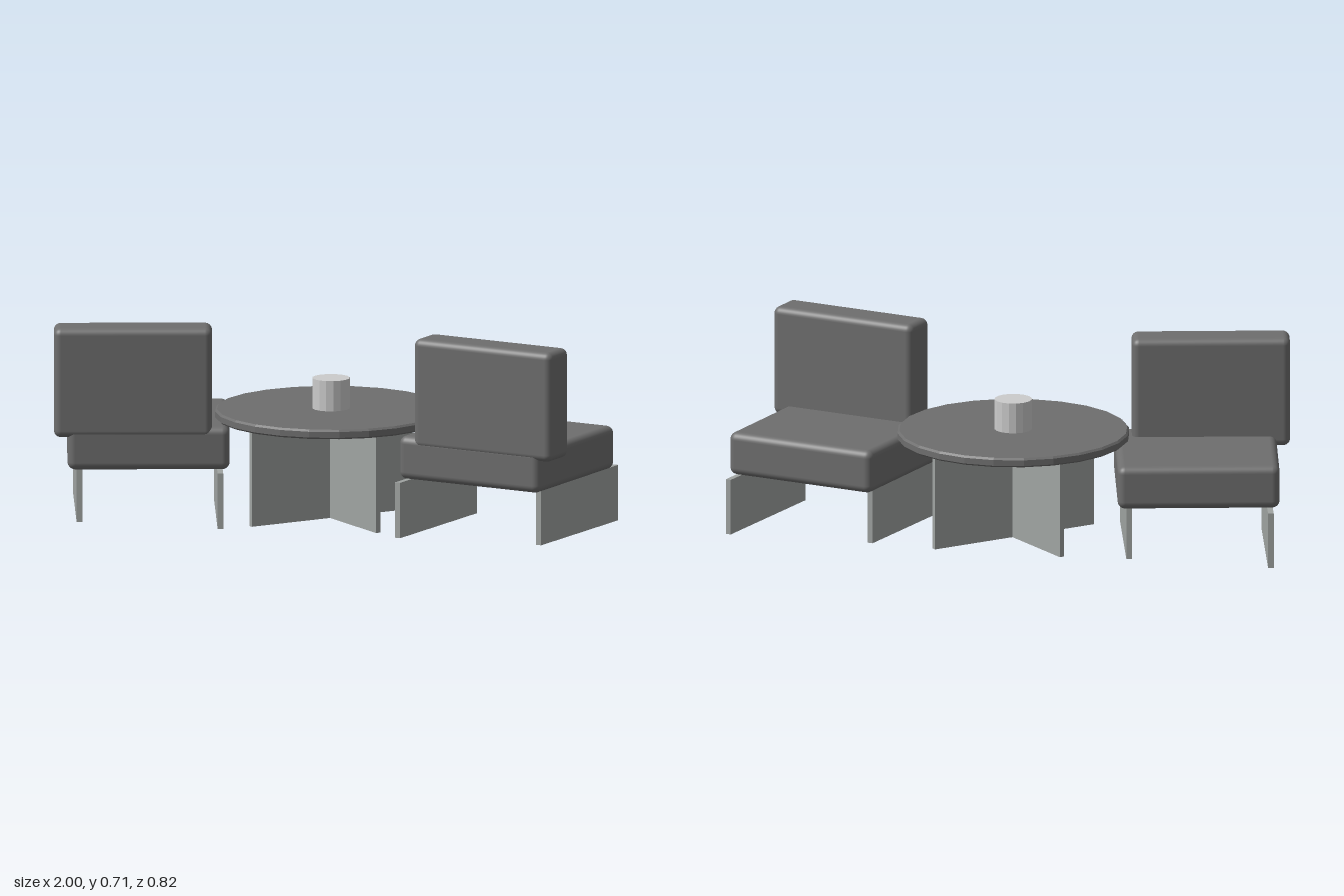
import * as THREE from 'three';
import { RoundedBoxGeometry } from 'three/addons/geometries/RoundedBoxGeometry.js';

export function createModel() {
  const cushionGrey = new THREE.MeshStandardMaterial({ color: 0x6e6e6e });
  cushionGrey.name = 'darkGrey';
  const panelGrey = new THREE.MeshStandardMaterial({ color: 0xa0a4a2 });
  panelGrey.name = 'panelGrey';
  const paleGrey = new THREE.MeshStandardMaterial({ color: 0xcccccc });
  paleGrey.name = 'paleGrey';

  const model = new THREE.Group();
  model.name = 'seatingSet';

  const add = (parent, name, geometry, material, x, y, z, turn = 0) => {
    const mesh = new THREE.Mesh(geometry, material);
    mesh.name = name;
    mesh.position.set(x, y, z);
    mesh.rotation.y = THREE.MathUtils.degToRad(turn);
    parent.add(mesh);
    return mesh;
  };

  // Faceted turned shape from [radius, height] points, bottom to top
  const turned = (points, sides, phase = 0) => {
    const lathe = new THREE.LatheGeometry(points.map(p => new THREE.Vector2(...p)), sides, phase);
    const faceted = lathe.toNonIndexed();
    faceted.computeVertexNormals();
    return faceted;
  };

  // Round table: bevelled top, crossed panels below, small drum on top
  const table = new THREE.Group();
  table.name = 'table';
  model.add(table);
  add(table, 'tableTop', turned([
    [0, 0.361], [0.405, 0.361], [0.412, 0.367], [0.412, 0.388], [0.405, 0.395], [0, 0.395],
  ], 24, 0.065), cushionGrey, 0, 0, 0);
  for (const turn of [45, -45]) {
    add(table, 'crossPanel', new THREE.BoxGeometry(0.66, 0.362, 0.018), panelGrey, 0, 0.181, 0, turn);
  }
  add(table, 'drum', turned([
    [0, 0.394], [0.067, 0.394], [0.067, 0.504], [0, 0.504],
  ], 16), paleGrey, 0, 0, 0);

  // Mirrored chairs, turned 15 degrees, each on two thin leg panels
  for (const side of [1, -1]) {
    const chair = new THREE.Group();
    chair.name = side > 0 ? 'leftChair' : 'rightChair';
    model.add(chair);
    add(chair, 'seat', new RoundedBoxGeometry(0.574, 0.155, 0.555, 4, 0.027),
      cushionGrey, side * 0.656, 0.2775, 0.05, side * -15);
    add(chair, 'backrest', new RoundedBoxGeometry(0.56, 0.394, 0.14, 4, 0.025),
      cushionGrey, side * 0.655, 0.514, 0.267, side * -15);
    for (const x of [0.398, 0.914]) {
      add(chair, 'legPanel', new THREE.BoxGeometry(0.02, 0.2, 0.536),
        panelGrey, side * x, 0.1, 0.05, side * -16);
    }
  }

  return model;
}
